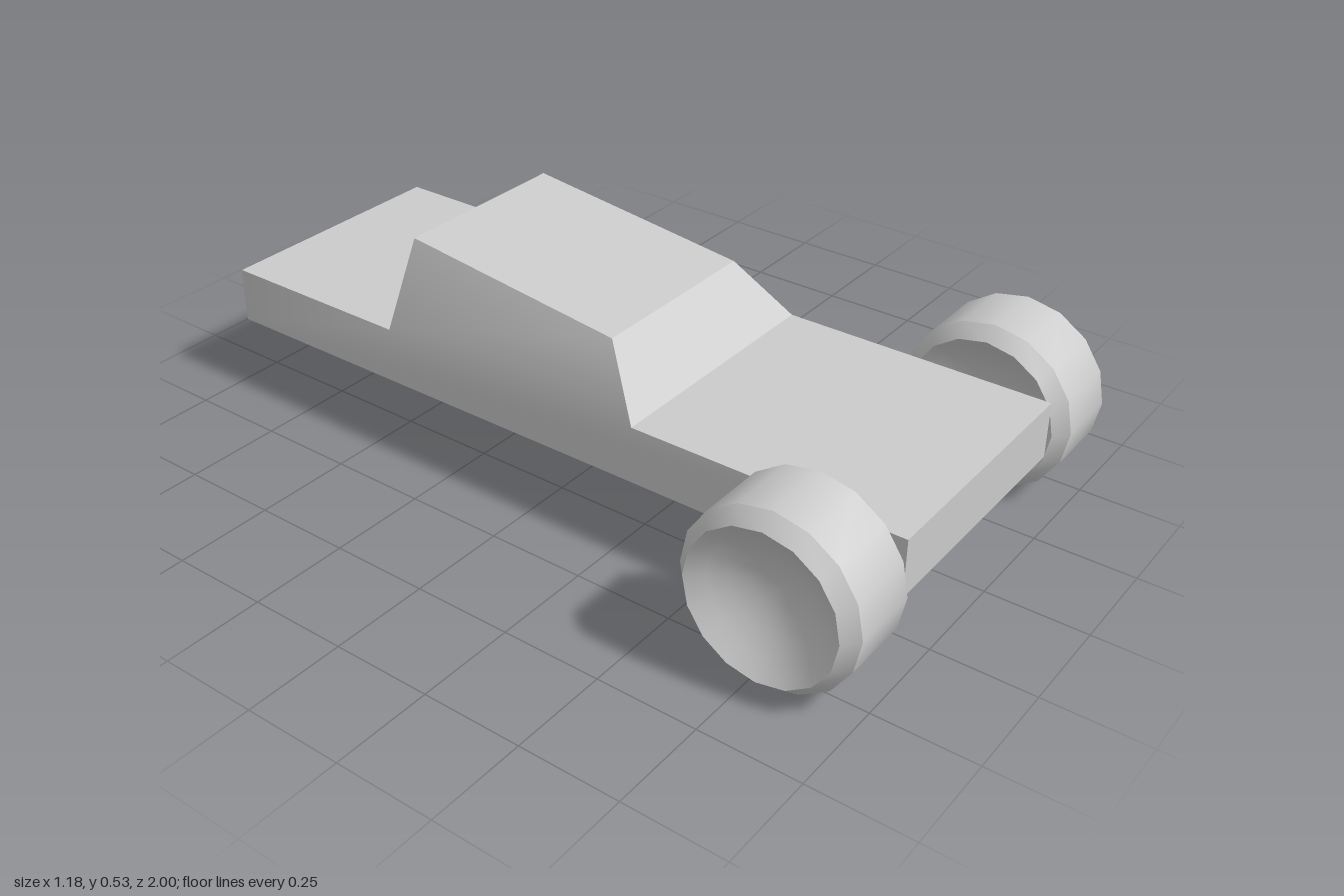
import * as THREE from 'three';
import { toCreasedNormals } from 'three/addons/utils/BufferGeometryUtils.js';

const CREASE = 0.6;

// Side outline of the body as [z, y, half width]: nose, hood, cabin, rear deck
const OUTLINE = [
  [0.965, 0.17, 0.33], [0.965, 0.315, 0.33],
  [0.27, 0.315, 0.33], [0.15, 0.462, 0.243],
  [-0.45, 0.535, 0.243], [-0.47, 0.315, 0.33],
  [-1, 0.315, 0.33], [-1, 0.17, 0.33],
];
// Triangles that fill one flank: the slab, then the leaning cabin side
const FLANK = [[7, 1, 0], [7, 2, 1], [7, 5, 2], [7, 6, 5], [5, 4, 3], [5, 3, 2]];

function bodyGeometry() {
  const positions = [];
  const point = (i, side) => {
    const [z, y, x] = OUTLINE[i];
    return [side * x, y, z];
  };
  const tri = (a, b, c) => positions.push(...a, ...b, ...c);

  // Panels running from the left edge to the right edge
  for (let i = 0; i < OUTLINE.length; i++) {
    const j = (i + 1) % OUTLINE.length;
    tri(point(i, 1), point(j, 1), point(j, -1));
    tri(point(i, 1), point(j, -1), point(i, -1));
  }
  // Both flanks
  for (const [a, b, c] of FLANK) {
    tri(point(a, 1), point(b, 1), point(c, 1));
    tri(point(a, -1), point(c, -1), point(b, -1));
  }
  const geometry = new THREE.BufferGeometry();
  geometry.setAttribute('position', new THREE.Float32BufferAttribute(positions, 3));
  return toCreasedNormals(geometry, CREASE);
}

// Sixteen-sided wheel with bevelled tread and a shallow bowl in each face
function wheelGeometry() {
  const radius = 0.217, rim = 0.186, half = 0.123, bevel = 0.036, depth = 0.09, steps = 5;
  const bowl = [];
  for (let i = 0; i <= steps; i++) {
    const t = i / steps;
    bowl.push([rim * t, half - depth * (1 - t * t)]);
  }
  const profile = [
    ...bowl.map(([r, h]) => new THREE.Vector2(r, -h)),
    new THREE.Vector2(radius, -half + bevel),
    new THREE.Vector2(radius, half - bevel),
    ...bowl.reverse().map(([r, h]) => new THREE.Vector2(r, h)),
  ];
  const geometry = new THREE.LatheGeometry(profile, 16);
  geometry.rotateZ(-Math.PI / 2);
  return toCreasedNormals(geometry, CREASE);
}

export function createModel() {
  const model = new THREE.Group();
  model.name = 'car';
  const material = new THREE.MeshStandardMaterial({ color: 0xcccccc });

  const body = new THREE.Mesh(bodyGeometry(), material);
  body.name = 'body';
  model.add(body);

  // Front wheels
  const wheel = wheelGeometry();
  for (const side of [1, -1]) {
    const mesh = new THREE.Mesh(wheel, material);
    mesh.name = side > 0 ? 'leftFrontWheel' : 'rightFrontWheel';
    mesh.position.set(side * 0.469, 0.218, 0.784);
    model.add(mesh);
  }
  return model;
}
